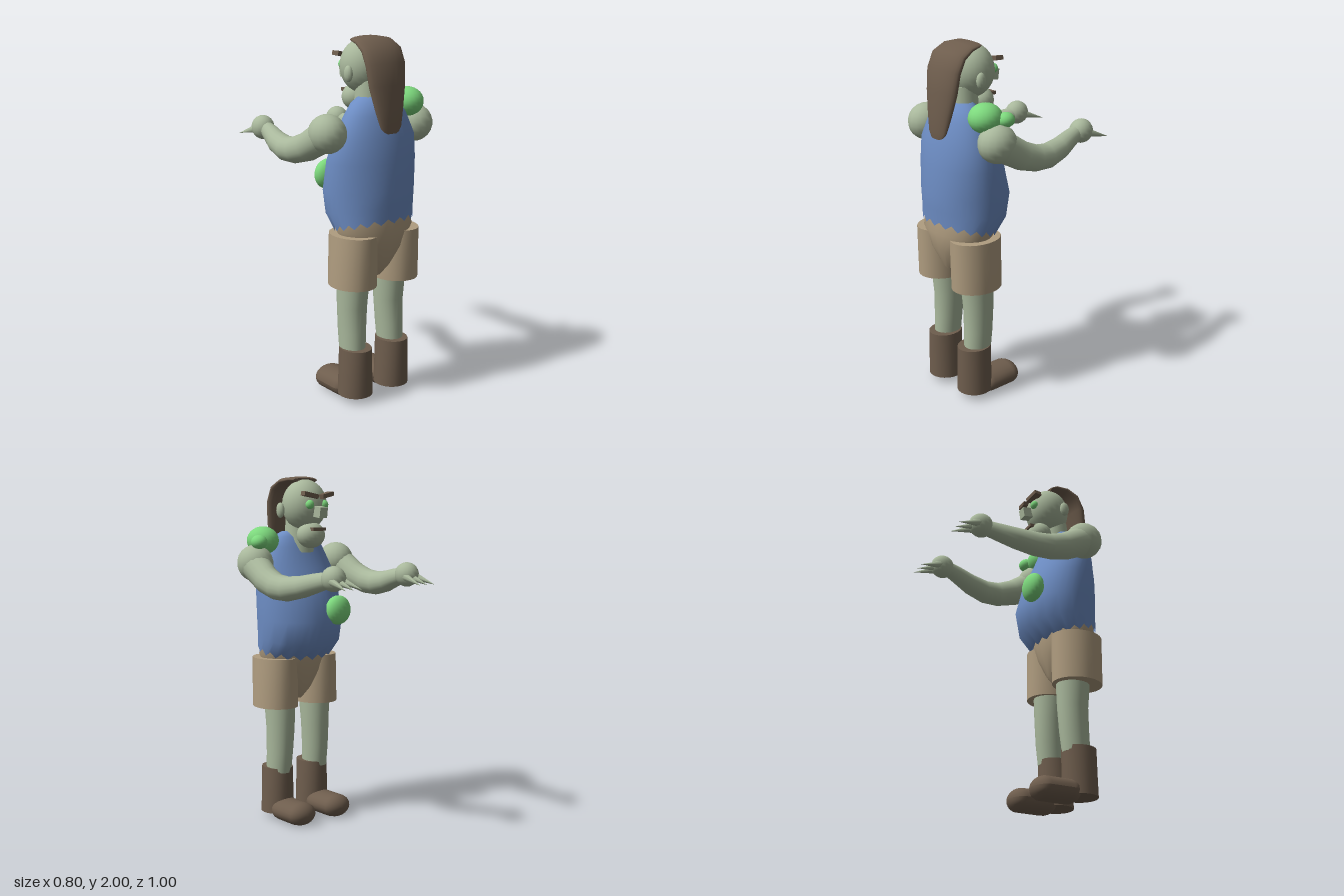
import * as THREE from 'three';

const mat = (name, color, side = THREE.FrontSide) => {
  const m = new THREE.MeshStandardMaterial({ color, side });
  m.name = name;
  return m;
};

// Skin swept through elliptical rows [x, y, z, radiusX, radiusOther, tilt].
// Upright rows lie flat; otherwise they turn to follow the path.
function loft(rows, { seg = 24, upright = true, caps = true } = {}) {
  const pos = [], index = [], X = new THREE.Vector3(1, 0, 0);
  const centre = (j) => new THREE.Vector3(...rows[Math.max(0, Math.min(rows.length - 1, j))].slice(0, 3));
  const rings = rows.map((r, j) => {
    const dir = upright ? new THREE.Vector3(0, r[5] || 0, 1)
      : X.clone().cross(centre(j + 1).sub(centre(j - 1))).normalize();
    return Array.from({ length: seg }, (_, i) => {
      const a = (i / seg) * Math.PI * 2;
      return centre(j).addScaledVector(X, Math.cos(a) * r[3]).addScaledVector(dir, Math.sin(a) * r[4]);
    });
  });
  rings.forEach((ring) => ring.forEach((p) => pos.push(p.x, p.y, p.z)));
  for (let j = 0; j < rows.length - 1; j++) {
    for (let i = 0; i < seg; i++) {
      const a = j * seg + i, b = j * seg + (i + 1) % seg;
      index.push(a, a + seg, b, b, a + seg, b + seg);
    }
  }
  if (caps) [0, rows.length - 1].forEach((j) => {
    const s = pos.length / 3, c = centre(j);
    [c, ...rings[j]].forEach((p) => pos.push(p.x, p.y, p.z));
    for (let i = 0; i < seg; i++) {
      const a = s + 1 + i, b = s + 1 + (i + 1) % seg;
      index.push(...(j ? [s, b, a] : [s, a, b]));
    }
  });
  const g = new THREE.BufferGeometry();
  g.setAttribute('position', new THREE.Float32BufferAttribute(pos, 3));
  g.setIndex(index);
  g.computeVertexNormals();
  return g;
}

export function createModel() {
  const model = new THREE.Group();
  const skin = mat('paleGreenSkin', 0xa9b89c);
  const brown = mat('darkBrown', 0x6e5d4d);
  const blue = mat('shirtBlue', 0x6d8dc4, THREE.DoubleSide);
  const tan = mat('shortsTan', 0xb09d80);
  const lime = mat('limeGreen', 0x7dd87d);

  const add = (name, geo, material, x = 0, y = 0, z = 0) => {
    const m = new THREE.Mesh(geo, material);
    m.name = name;
    m.position.set(x, y, z);
    model.add(m);
    return m;
  };
  const ball = (name, material, p, r, seg = 20) =>
    add(name, new THREE.SphereGeometry(1, seg, Math.round(seg * 0.7)).scale(...r), material, ...p);

  // Shirt with pot belly and ragged hem
  const shirt = loft([
    [0, 1.0, 0.325, 0.238, 0.166, 0.24], [0, 1.08, 0.285, 0.255, 0.21, 0.2],
    [0, 1.19, 0.275, 0.262, 0.225, 0.05], [0, 1.35, 0.295, 0.264, 0.196],
    [0, 1.48, 0.32, 0.247, 0.156], [0, 1.6, 0.325, 0.19, 0.115],
    [0, 1.66, 0.32, 0.145, 0.09], [0, 1.69, 0.31, 0.09, 0.06],
  ], { seg: 36, caps: false });
  const sp = shirt.attributes.position;
  for (let i = 0; i < 36; i++) sp.setY(i, sp.getY(i) + (i % 2 ? -0.012 : 0.016));
  shirt.computeVertexNormals();
  add('shirt', shirt, blue);

  // Seat of the shorts
  add('shortsSeat', loft([
    [0, 0.71, 0.32, 0.025, 0.05], [0, 0.77, 0.32, 0.075, 0.1], [0, 0.88, 0.325, 0.18, 0.14],
    [0, 0.98, 0.325, 0.234, 0.158], [0, 1.08, 0.32, 0.23, 0.15],
  ]), tan);

  // Neck, head and jaw
  add('neck', new THREE.CylinderGeometry(0.075, 0.09, 0.2, 20), skin, 0, 1.67, 0.28);
  ball('head', skin, [0, 1.84, 0.228], [0.13, 0.145, 0.128], 24);
  ball('jaw', skin, [0, 1.67, 0.17], [0.085, 0.075, 0.075]);
  add('nose', new THREE.BoxGeometry(0.055, 0.06, 0.06), skin, 0, 1.8, 0.085).rotation.x = -0.15;
  add('mouth', new THREE.BoxGeometry(0.09, 0.018, 0.035), brown, 0, 1.704, 0.108);

  // Hair swept from the crown down the back
  add('hair', loft([
    [0, 1.98, 0.222, 0.085, 0.012], [0, 1.982, 0.245, 0.108, 0.019], [0, 1.972, 0.31, 0.125, 0.028],
    [0, 1.935, 0.37, 0.132, 0.038], [0, 1.86, 0.405, 0.13, 0.043], [0, 1.75, 0.42, 0.118, 0.043],
    [0, 1.63, 0.438, 0.092, 0.034], [0, 1.54, 0.453, 0.07, 0.02], [0, 1.505, 0.459, 0.045, 0.01],
  ], { upright: false }), brown);

  // Shoulder and belly growths
  ball('largeShoulderGrowth', lime, [0.23, 1.64, 0.32], [0.09, 0.08, 0.093]);
  ball('smallShoulderGrowth', lime, [0.308, 1.635, 0.25], [0.046, 0.04, 0.048]);
  ball('bellyGrowth', lime, [-0.115, 1.24, 0.065], [0.085, 0.085, 0.055]);

  for (const s of [1, -1]) {
    const side = s > 0 ? 'left' : 'right';
    const named = (n) => side + n;

    // Face
    ball(named('Ear'), skin, [s * 0.14, 1.81, 0.272], [0.021, 0.044, 0.029], 12);
    ball(named('Eye'), lime, [s * 0.052, 1.842, 0.115], [0.026, 0.026, 0.024], 14);
    const brow = add(named('Brow'), new THREE.BoxGeometry(0.092, 0.024, 0.045), brown, s * 0.058, 1.895, 0.107);
    brow.rotation.set(0, s * -0.15, s * 0.2);

    // Arm
    ball(named('Shoulder'), skin, [s * 0.3, 1.515, 0.3], [0.1, 0.104, 0.108], 16);
    add(named('Arm'), loft([
      [s * 0.31, 1.5, 0.28, 0.085, 0.085], [s * 0.325, 1.43, 0.16, 0.074, 0.078],
      [s * 0.332, 1.398, 0.06, 0.069, 0.072], [s * 0.328, 1.392, -0.03, 0.067, 0.068],
      [s * 0.308, 1.41, -0.14, 0.062, 0.06], [s * 0.284, 1.435, -0.23, 0.051, 0.052],
      [s * 0.262, 1.458, -0.32, 0.04, 0.042],
    ], { seg: 18, upright: false }), skin);

    // Hand with three claws
    ball(named('Hand'), skin, [s * 0.267, 1.46, -0.34], [0.064, 0.068, 0.07], 16);
    for (const k of [-1, 0, 1]) {
      const base = new THREE.Vector3(s * 0.267 + k * 0.036, 1.45, -0.365);
      const tip = new THREE.Vector3(s * 0.267 + k * 0.056, 1.41, -0.5);
      const d = tip.clone().sub(base);
      const claw = add(named('Claw'), new THREE.ConeGeometry(0.023, d.length(), 8), skin,
        ...base.add(tip).multiplyScalar(0.5).toArray());
      claw.quaternion.setFromUnitVectors(new THREE.Vector3(0, 1, 0), d.normalize());
    }

    // Shorts leg, shin and boot
    add(named('ShortsLeg'), loft([
      [s * 0.148, 0.675, 0.322, 0.124, 0.146], [s * 0.147, 0.82, 0.324, 0.123, 0.148],
      [s * 0.146, 0.963, 0.326, 0.119, 0.15],
    ]), tan);
    add(named('Leg'), loft([
      [s * 0.136, 0.28, 0.31, 0.068, 0.08], [s * 0.134, 0.4, 0.302, 0.073, 0.085],
      [s * 0.131, 0.54, 0.298, 0.08, 0.088], [s * 0.13, 0.72, 0.305, 0.088, 0.1],
    ]), skin);
    add(named('BootShaft'), loft([
      [s * 0.131, 0.037, 0.33, 0.097, 0.1], [s * 0.131, 0.17, 0.33, 0.091, 0.099],
      [s * 0.131, 0.308, 0.33, 0.086, 0.099],
    ]), brown);
    const foot = new THREE.CapsuleGeometry(0.07, 0.14, 8, 20).rotateX(Math.PI / 2).scale(1.34, 0.95, 1);
    const fp = foot.attributes.position;
    for (let i = 0; i < fp.count; i++) fp.setY(i, Math.max(fp.getY(i), -0.06));
    foot.computeVertexNormals();
    add(named('BootFoot'), foot, brown, s * 0.132, 0.06, 0.178);
  }
  return model;
}
